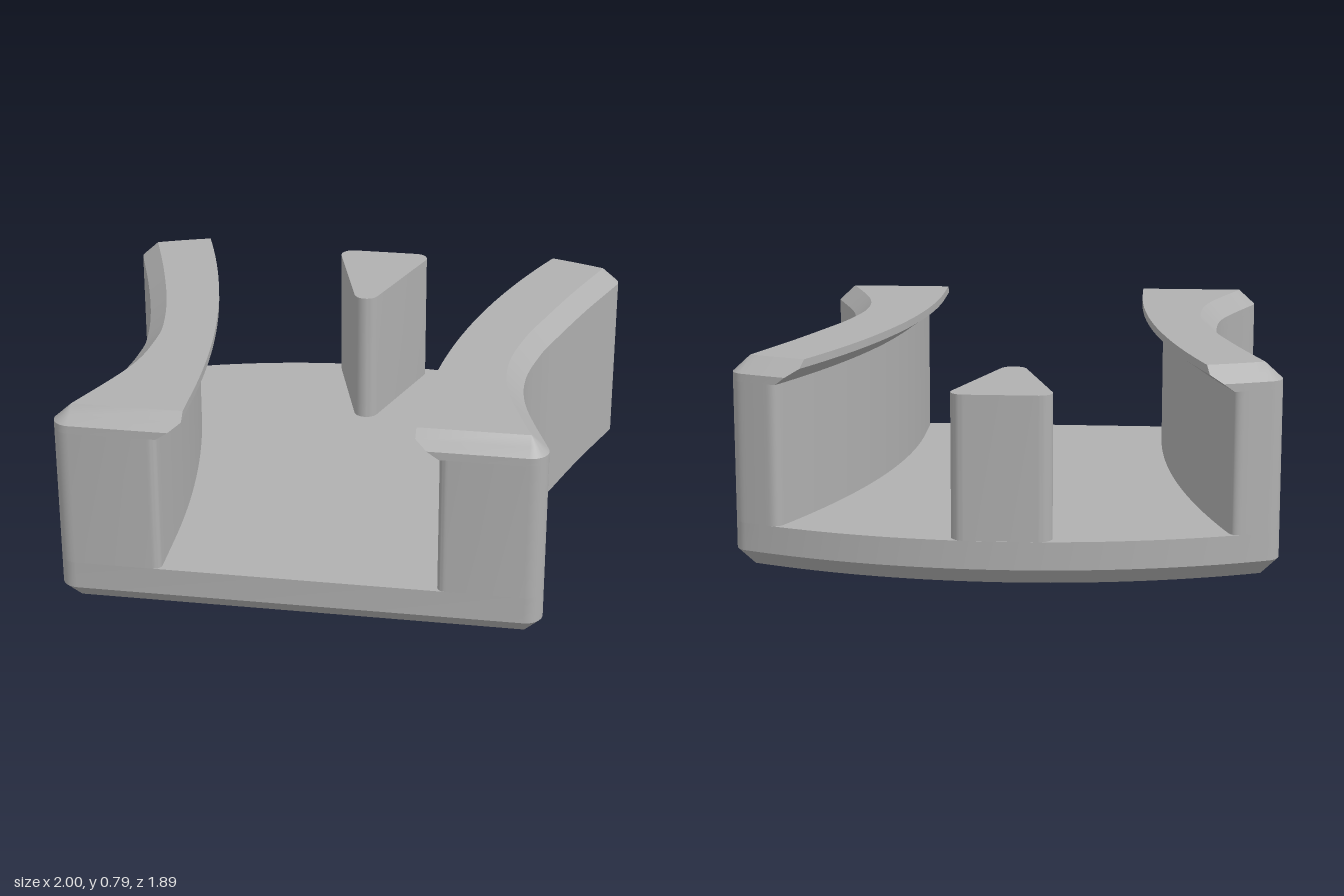
import * as THREE from 'three';
import { toCreasedNormals } from 'three/addons/utils/BufferGeometryUtils.js';

const V = (x, z) => new THREE.Vector2(x, z);
const BEVEL = 0.065, FLOOR = 0.17, FRONT = 0.88, ARC_Z = 1.57, ARC_R = 2.455;

// Per side (+1 left, -1 right): waisted outer edge, inset by the bevel, from front to back,
// and the inner rail edge as x = front + bend * (0.72 - z)^2
const SIDES = {
  '1': {
    edge: [[0.775, 0.88], [0.665, 0.55], [0.64, 0.3], [0.68, 0.05], [0.74, -0.15], [0.83, -0.42], [0.935, -0.7]],
    front: 0.37, bend: 0.158,
  },
  '-1': {
    edge: [[0.88, 0.88], [0.745, 0.53], [0.71, 0.27], [0.72, 0.1], [0.765, -0.13], [0.845, -0.42], [0.935, -0.7]],
    front: 0.47, bend: 0.114,
  },
};

const backZ = (x, r) => ARC_Z - Math.sqrt((ARC_R + r) ** 2 - x * x);

// Closed solid through plan rings of equal length, listed bottom to top
function loft(levels) {
  const flip = !THREE.ShapeUtils.isClockWise(levels[0].ring);
  const rings = levels.map(({ y, ring }) => ({ y, ring: flip ? [...ring].reverse() : ring }));
  const pos = [];
  const put = (l, i) => pos.push(l.ring[i].x, l.y, l.ring[i].y);
  for (let k = 0; k + 1 < rings.length; k++) {
    const a = rings[k], b = rings[k + 1], n = a.ring.length;
    for (let i = 0; i < n; i++) {
      const j = (i + 1) % n;
      put(a, i); put(a, j); put(b, j);
      put(a, i); put(b, j); put(b, i);
    }
  }
  const cap = (l, up) => {
    for (const [i, j, k] of THREE.ShapeUtils.triangulateShape([...l.ring], [])) {
      const [p, q, s] = [l.ring[i], l.ring[j], l.ring[k]];
      const facesUp = (q.x - p.x) * (s.y - p.y) - (q.y - p.y) * (s.x - p.x) < 0;
      for (const m of facesUp === up ? [i, j, k] : [i, k, j]) put(l, m);
    }
  };
  cap(rings[0], false);
  cap(rings[rings.length - 1], true);
  const g = new THREE.BufferGeometry();
  g.setAttribute('position', new THREE.Float32BufferAttribute(pos, 3));
  return toCreasedNormals(g, 0.5);
}

// Outer edge of one side grown by r, with round corners, front to back
function outerEdge(s, r) {
  const curve = new THREE.SplineCurve(SIDES[s].edge.map(([x, z]) => V(x, z)));
  const out = [];
  const add = (p, a) => out.push(V(s * (p.x + r * Math.cos(a)), p.y + r * Math.sin(a)));
  const normalAt = (t) => { const d = curve.getTangent(t); return Math.atan2(d.x, -d.y); };
  const corner = (p, a0, a1) => { for (let i = 0; i <= 8; i++) add(p, a0 + (a1 - a0) * i / 8); };
  corner(curve.getPoint(0), Math.PI / 2, normalAt(0));
  for (let i = 1; i < 40; i++) add(curve.getPoint(i / 40), normalAt(i / 40));
  const end = curve.getPoint(1);
  corner(end, normalAt(1), Math.atan2(end.y - ARC_Z, end.x));
  return out;
}

function baseRing(r) {
  const left = outerEdge(1, r), right = outerEdge(-1, r).reverse();
  const x0 = left[left.length - 1].x, back = [];
  for (let i = 1; i < 32; i++) {
    const x = x0 * (1 - i / 16);
    back.push(V(x, backZ(x, r)));
  }
  return [...left, ...back, ...right];
}

// Plan of one side wall: grown by r outside, inner face set back by d, inner corners rounded
function wallRing(s, r, d, round) {
  const { front, bend } = SIDES[s];
  const innerX = (z) => front + d + bend * Math.max(0, 0.72 - z) ** 2;
  const zf = FRONT + r;
  let zb = -0.8;
  for (let i = 0; i < 8; i++) zb = backZ(innerX(zb), r);
  const xb = innerX(zb), xf = innerX(zf);
  const ring = outerEdge(s, r);
  const bend3 = (a, b, c) => ring.push(...new THREE.QuadraticBezierCurve(a, b, c).getPoints(8));
  const x0 = Math.abs(ring[ring.length - 1].x), x1 = xb + round;
  for (let i = 1; i < 6; i++) {
    const x = x0 + (x1 - x0) * i / 6;
    ring.push(V(s * x, backZ(x, r)));
  }
  bend3(V(s * x1, backZ(x1, r)), V(s * xb, zb), V(s * innerX(zb + round), zb + round));
  for (let i = 1; i < 30; i++) {
    const z = zb + round + (zf - zb - 2 * round) * i / 30;
    ring.push(V(s * innerX(z), z));
  }
  bend3(V(s * innerX(zf - round), zf - round), V(s * xf, zf), V(s * (xf + round), zf));
  return ring;
}

// Rounded wedge plan for the stop post
function postRing() {
  const r = 0.05, core = [V(-0.012, -0.48), V(0.133, -0.897), V(-0.133, -0.897)], ring = [];
  core.forEach((p, i) => {
    const before = core[(i + 2) % 3], after = core[(i + 1) % 3];
    const normal = (a, b) => Math.atan2(b.x - a.x, -(b.y - a.y));
    const a0 = normal(before, p);
    let a1 = normal(p, after);
    while (a1 > a0) a1 -= Math.PI * 2;
    for (let k = 0; k <= 12; k++) {
      const a = a0 + (a1 - a0) * k / 12;
      ring.push(V(p.x + r * Math.cos(a), p.y + r * Math.sin(a)));
    }
  });
  return ring;
}

export function createModel() {
  const group = new THREE.Group();
  const grey = new THREE.MeshStandardMaterial({ color: 0xb0b0b0 });
  grey.name = 'plain grey';
  const add = (name, levels) => {
    const mesh = new THREE.Mesh(loft(levels), grey);
    mesh.name = name;
    group.add(mesh);
  };

  // Floor plate with a bevelled underside
  add('base', [
    { y: 0, ring: baseRing(0) },
    { y: BEVEL, ring: baseRing(BEVEL) },
    { y: FLOOR, ring: baseRing(BEVEL) },
  ]);

  // Side walls, each topped by a bevelled rail with an overhanging lip
  for (const s of [1, -1]) {
    const side = s > 0 ? 'left' : 'right';
    const body = wallRing(s, BEVEL, 0.088, 0.035);
    add(side + 'Wall', [{ y: FLOOR, ring: body }, { y: 0.7, ring: body }]);
    add(side + 'Rail', [
      { y: 0.7, ring: wallRing(s, BEVEL, 0.088, 0) },
      { y: 0.73, ring: wallRing(s, BEVEL, 0.044, 0) },
      { y: 0.76, ring: wallRing(s, BEVEL / 2, 0, 0) },
      { y: 0.79, ring: wallRing(s, 0, 0, 0) },
    ]);
  }

  // Wedge-shaped post at the middle of the back edge
  const post = postRing();
  add('stopPost', [{ y: FLOOR, ring: post }, { y: 0.705, ring: post }]);
  return group;
}
